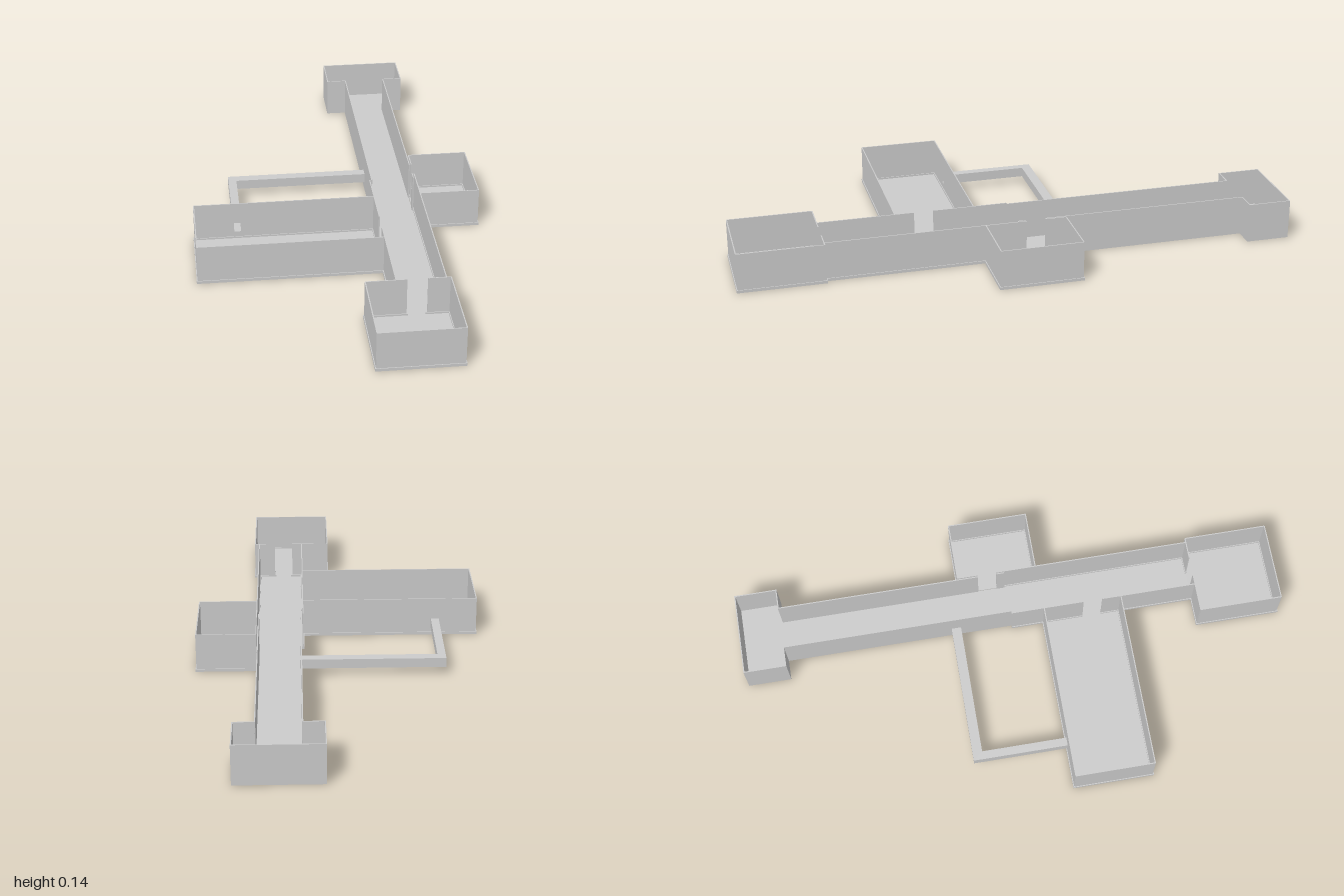
import * as THREE from 'three';

const HEIGHT = 0.145;      // wall height
const THICK = 0.004;       // wall thickness
const SKIRT = 0.01;        // skirting height and depth
const DUCT_Y = [0.03, 0.065];

export function createModel() {
  const model = new THREE.Group();
  model.name = 'floorPlan';
  const material = new THREE.MeshStandardMaterial({ color: 0xcccccc, flatShading: true, side: THREE.DoubleSide });

  function add(parent, geometry, name) {
    const mesh = new THREE.Mesh(geometry, material);
    mesh.name = name;
    parent.add(mesh);
    return mesh;
  }

  function block(parent, name, x0, x1, y0, y1, z0, z1) {
    const mesh = add(parent, new THREE.BoxGeometry(x1 - x0, y1 - y0, z1 - z0), name);
    mesh.position.set((x0 + x1) / 2, (y0 + y1) / 2, (z0 + z1) / 2);
  }

  function section(name) {
    const group = new THREE.Group();
    group.name = name;
    model.add(group);
    return group;
  }

  // Upright panel along 'x' or 'z' from a to b; hole = [from, to] for a duct opening
  function wall(parent, axis, at, a, b, { skirt = true, hole } = {}) {
    const shape = new THREE.Shape();
    const s = axis === 'x' ? 1 : -1; // rotating onto z reverses the local direction
    const rect = (path, p, q, y0, y1) => {
      path.moveTo(s * p, y0);
      path.lineTo(s * q, y0);
      path.lineTo(s * q, y1);
      path.lineTo(s * p, y1);
      path.closePath();
      return path;
    };
    rect(shape, a, b, 0, HEIGHT);
    if (hole) shape.holes.push(rect(new THREE.Path(), hole[0], hole[1], ...DUCT_Y));
    const geometry = new THREE.ExtrudeGeometry(shape, { depth: THICK, bevelEnabled: false });
    geometry.translate(0, 0, -THICK / 2);
    if (axis === 'z') geometry.rotateY(Math.PI / 2).translate(at, 0, 0);
    else geometry.translate(0, 0, at);
    add(parent, geometry, 'wall');

    if (skirt) {
      const h = SKIRT / 2;
      if (axis === 'x') block(parent, 'skirting', a - h, b + h, 0, SKIRT, at - h, at + h);
      else block(parent, 'skirting', at - h, at + h, 0, SKIRT, a, b);
    }
  }

  const floor = (parent, x0, x1, z0, z1) => block(parent, 'floor', x0, x1, 0, 0.004, z0, z1);
  const plain = { skirt: false };

  // Back room, open to the passage
  const backRoom = section('backRoom');
  floor(backRoom, 0.067, 0.368, -0.998, -0.845);
  wall(backRoom, 'x', -0.998, 0.065, 0.37, plain);
  wall(backRoom, 'z', 0.067, -1, -0.843, plain);
  wall(backRoom, 'z', 0.368, -1, -0.843, plain);
  wall(backRoom, 'x', -0.845, 0.065, 0.14, plain);
  wall(backRoom, 'x', -0.845, 0.295, 0.37, plain);

  // Plain back passage
  const backPassage = section('backPassage');
  floor(backPassage, 0.14, 0.295, -0.845, 0);
  wall(backPassage, 'z', 0.14, -0.845, 0, { skirt: false, hole: [-0.223, -0.192] });
  wall(backPassage, 'z', 0.295, -0.845, -0.1, plain);
  wall(backPassage, 'z', 0.295, -0.03, 0, plain);

  // Front passage with skirting and a doorway on the right
  const frontPassage = section('frontPassage');
  floor(frontPassage, 0.132, 0.302, 0, 0.69);
  wall(frontPassage, 'z', 0.132, 0, 0.27);
  wall(frontPassage, 'z', 0.132, 0.34, 0.69);
  wall(frontPassage, 'z', 0.302, 0, 0.69);

  // Long room on the right
  const longRoom = section('longRoom');
  floor(longRoom, -0.52, 0.132, 0.12, 0.412);
  wall(longRoom, 'x', 0.122, -0.52, 0.132, { hole: [-0.377, -0.353] });
  wall(longRoom, 'x', 0.41, -0.52, 0.132);
  wall(longRoom, 'z', -0.52, 0.122, 0.41);

  // Small room on the left
  const smallRoom = section('smallRoom');
  floor(smallRoom, 0.297, 0.515, -0.175, 0.118);
  wall(smallRoom, 'x', -0.175, 0.302, 0.517);
  wall(smallRoom, 'x', 0.118, 0.302, 0.517);
  wall(smallRoom, 'z', 0.517, -0.175, 0.118);
  wall(smallRoom, 'z', 0.302, -0.175, -0.1);
  wall(smallRoom, 'z', 0.302, -0.03, 0);

  // Front room with a doorway into the passage
  const frontRoom = section('frontRoom');
  floor(frontRoom, 0.028, 0.318, 0.688, 0.993);
  wall(frontRoom, 'x', 0.69, 0.028, 0.17);
  wall(frontRoom, 'x', 0.69, 0.24, 0.318);
  wall(frontRoom, 'x', 0.994, 0.028, 0.318);
  wall(frontRoom, 'z', 0.028, 0.69, 0.994);
  wall(frontRoom, 'z', 0.318, 0.69, 0.994);

  // Hollow duct: L-shaped top and bottom, closed sides, open ends
  const duct = section('duct');
  const corners = [[0.145, -0.225], [-0.38, -0.225], [-0.38, 0.122], [-0.35, 0.122], [-0.35, -0.19], [0.145, -0.19]];
  const outline = new THREE.Shape(corners.map(([x, z]) => new THREE.Vector2(x, z)));
  for (const y of DUCT_Y) {
    add(duct, new THREE.ShapeGeometry(outline).rotateX(Math.PI / 2).translate(0, y, 0), 'ductPanel');
  }
  for (const i of [0, 1, 3, 4]) {
    const [x0, z0] = corners[i];
    const [x1, z1] = corners[i + 1];
    const side = add(duct, new THREE.PlaneGeometry(Math.hypot(x1 - x0, z1 - z0), DUCT_Y[1] - DUCT_Y[0]), 'ductSide');
    side.position.set((x0 + x1) / 2, (DUCT_Y[0] + DUCT_Y[1]) / 2, (z0 + z1) / 2);
    side.rotation.y = Math.atan2(z0 - z1, x1 - x0);
  }

  return model;
}
